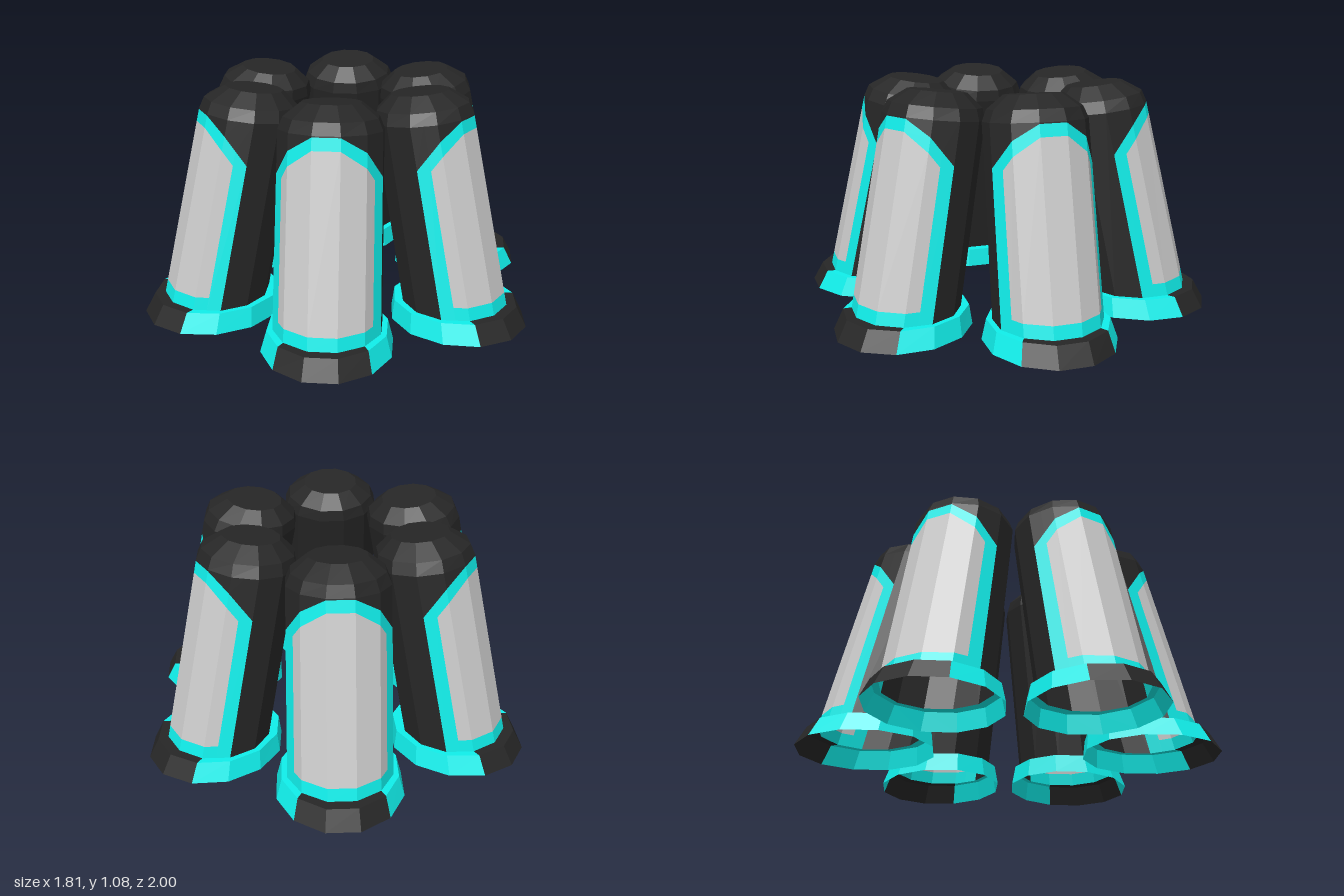
import * as THREE from 'three';

const material = (color) => new THREE.MeshStandardMaterial({ color, flatShading: true, side: THREE.DoubleSide });
const BLACK = material(0x262626);
const CYAN = material(0x10eeea);
const GREY = material(0xcccccc);

// Twelve-sided cross-sections of one pod; c is the distance of the centre from the
// middle of the cluster, rr / rt the radii outward / sideways, tilt the slope of the plane
const FOOT = { c: 0.68, y: 0, tilt: 0, rr: 0.331, rt: 0.302 };
const RIM = { c: 0.66, y: 0.09, tilt: 0, rr: 0.3, rt: 0.276 };
const BASE = { c: 0.66, y: 0.09, tilt: 0, rr: 0.25, rt: 0.25 };
const SHOULDER = { c: 0.468, y: 0.952, tilt: 0.13, rr: 0.228, rt: 0.238 };
const DOME = { c: 0.457, y: 1.005, tilt: 0.135, rr: 0.215, rt: 0.215 };
const CROWN = { c: 0.44, y: 1.065, tilt: 0.135, rr: 0.135, rt: 0.135 };
const APEX = { c: 0.44, y: 1.065, tilt: 0, rr: 0, rt: 0 };

// Point on the polygon of a section, at an angle in degrees from the outward direction
function onSection(s, deg) {
  const corner = (d) => {
    const a = THREE.MathUtils.degToRad(d);
    const r = s.rr * Math.cos(a);
    return new THREE.Vector3(s.rt * Math.sin(a), s.y + s.tilt * r, s.c + r);
  };
  const start = Math.floor((deg - 15) / 30) * 30 + 15;
  return corner(start).lerp(corner(start + 30), (deg - start) / 30);
}

// Point on the tapered body at a given height
function onBody(deg, y) {
  const a = onSection(BASE, deg), b = onSection(SHOULDER, deg);
  return a.clone().lerp(b, Math.min((y - a.y) / (b.y - a.y), 1));
}

// Band of quads between a lower and an upper edge
function strip(name, mat, angles, low, high) {
  const pos = [];
  for (let i = 0; i < angles.length - 1; i++) {
    const a = low(angles[i]), b = low(angles[i + 1]);
    const c = high(angles[i + 1]), d = high(angles[i]);
    for (const p of [a, b, c, a, c, d]) pos.push(p.x, p.y, p.z);
  }
  const geo = new THREE.BufferGeometry();
  geo.setAttribute('position', new THREE.Float32BufferAttribute(pos, 3));
  geo.computeVertexNormals();
  const mesh = new THREE.Mesh(geo, mat);
  mesh.name = name;
  return mesh;
}

const range = (from, to) => Array.from({ length: (to - from) / 30 + 1 }, (_, i) => from + 30 * i);
const section = (s) => (deg) => onSection(s, deg);
const level = (y) => (deg) => onBody(deg, y);

// Heights of the arched window and its frame at each body edge
const PANE_TOP = { 15: 0.92, 45: 0.835, 60: 0.77 };
const FRAME_TOP = { 15: 0.975, 45: 0.9, 60: 0.835, 75: 0.77 };
const paneTop = (deg) => onBody(deg, PANE_TOP[Math.abs(deg)]);
const frameTop = (deg) => onBody(deg, FRAME_TOP[Math.abs(deg)]);

function createPod() {
  const pod = new THREE.Group();
  const all = range(15, 375);
  const pane = [-60, -45, -15, 15, 45, 60];
  const frame = [-75, ...pane, 75];

  // Flared foot with its ledge: dark outside, bright around the rest
  for (const [name, mat, angles] of [['footFront', BLACK, range(-45, 45)], ['footRing', CYAN, range(45, 315)]]) {
    pod.add(strip(name, mat, angles, section(FOOT), section(RIM)));
    pod.add(strip(name + 'Ledge', mat, angles, section(RIM), section(BASE)));
  }

  // Window pane and the frame around it
  pod.add(strip('windowPane', GREY, pane, level(0.15), paneTop));
  pod.add(strip('frameBottom', CYAN, pane, level(0.09), level(0.15)));
  pod.add(strip('frameArch', CYAN, pane, paneTop, frameTop));
  pod.add(strip('frameSideRight', CYAN, [-75, -60], level(0.09), frameTop));
  pod.add(strip('frameSideLeft', CYAN, [60, 75], level(0.09), frameTop));

  // Dark shell: above the frame, around the back and over the dome
  pod.add(strip('shellBrow', BLACK, frame, frameTop, section(SHOULDER)));
  pod.add(strip('shellBack', BLACK, range(75, 285), section(BASE), section(SHOULDER)));
  pod.add(strip('domeLower', BLACK, all, section(SHOULDER), section(DOME)));
  pod.add(strip('domeUpper', BLACK, all, section(DOME), section(CROWN)));
  pod.add(strip('domeCap', BLACK, all, section(CROWN), section(APEX)));
  return pod;
}

export function createModel() {
  const model = new THREE.Group();
  model.name = 'podCluster';
  // Six pods in a ring, leaning inward
  for (let i = 0; i < 6; i++) {
    const pod = createPod();
    pod.name = 'pod' + (i + 1);
    pod.rotation.y = (i * Math.PI) / 3;
    model.add(pod);
  }
  return model;
}
